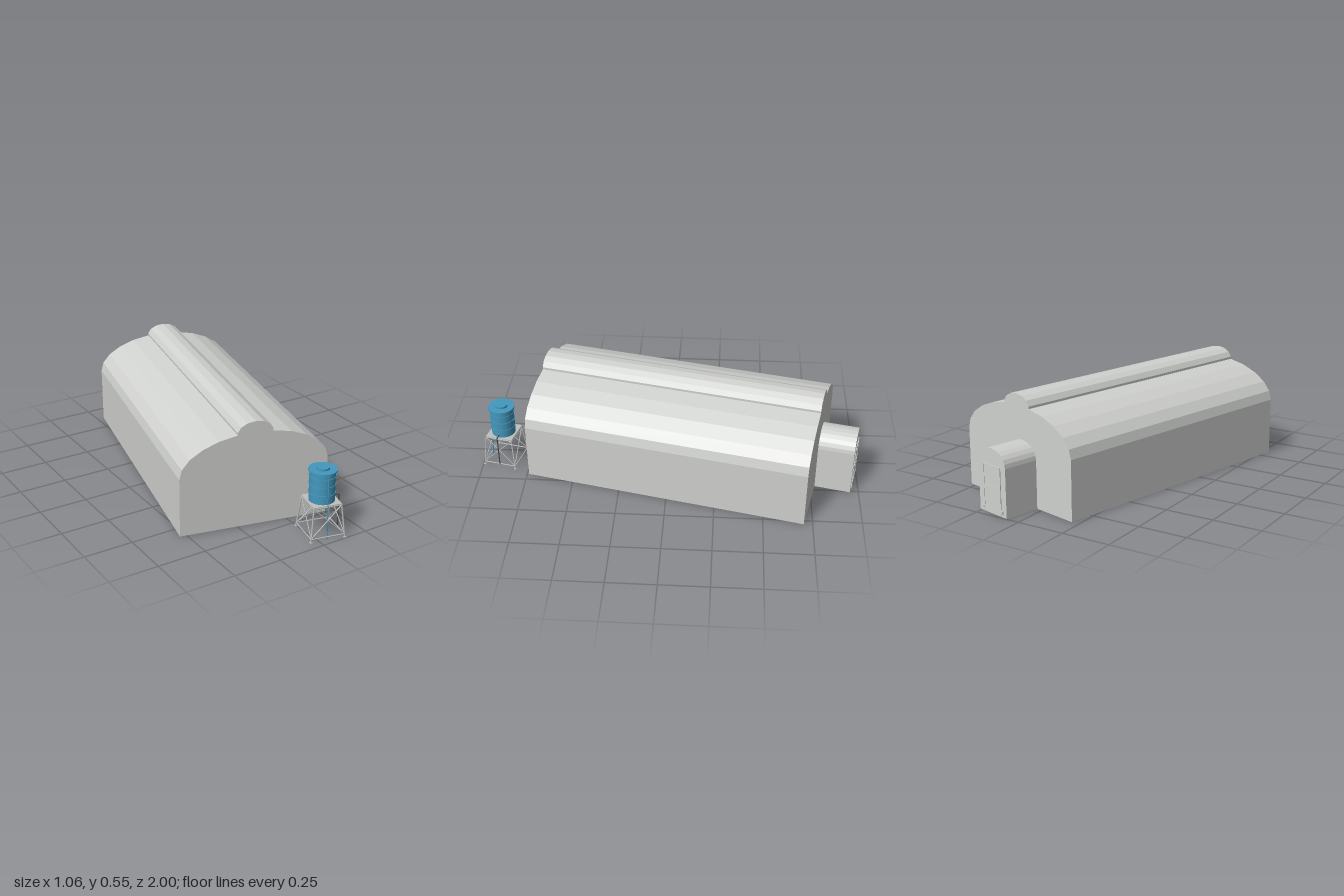
import * as THREE from 'three';

const mat = (name, color) => {
  const m = new THREE.MeshStandardMaterial({ color });
  m.name = name;
  return m;
};

export function createModel() {
  const cladding = mat('pale cladding', 0xd0d2cf);
  const floorDark = mat('dark floor', 0x666866);
  const tankBlue = mat('tank blue', 0x4398be);
  const steel = mat('galvanised steel', 0xbfc1bf);
  const pipeDark = mat('dark pipe', 0x4a4c4c);

  const add = (parent, name, geo, material, x = 0, y = 0, z = 0) => {
    const m = new THREE.Mesh(geo, material);
    m.name = name;
    m.position.set(x, y, z);
    parent.add(m);
    return m;
  };
  const box = (w, h, d) => new THREE.BoxGeometry(w, h, d);

  // Round bar between two points
  const bar = (parent, name, a, b, r, material, sides = 6) => {
    const p = new THREE.Vector3(...a), q = new THREE.Vector3(...b);
    const dir = q.clone().sub(p);
    const m = add(parent, name, new THREE.CylinderGeometry(r, r, dir.length(), sides), material);
    m.position.copy(p).add(q).multiplyScalar(0.5);
    m.quaternion.setFromUnitVectors(new THREE.Vector3(0, 1, 0), dir.normalize());
    return m;
  };

  // Symmetrical vault: right half of the section, mirrored and extruded
  const vault = (half, length) => {
    const left = half.filter(([x]) => x > 0).reverse().map(([x, y]) => [-x, y]);
    const shape = new THREE.Shape([...half, ...left].map(([x, y]) => new THREE.Vector2(x, y)));
    return new THREE.ExtrudeGeometry(shape, { depth: length, bevelEnabled: false });
  };

  const model = new THREE.Group();
  model.name = 'vaultedHallWithWaterTower';
  const site = new THREE.Group();
  site.name = 'site';
  site.position.set(-0.0025, 0, -0.065);
  site.rotation.y = -0.2193;
  model.add(site);

  // Main hall with raised ridge vent
  const hall = new THREE.Group();
  hall.name = 'hall';
  site.add(hall);
  const W = 0.379, L = 1.481;
  add(hall, 'hallShell', vault([
    [W, 0.001], [W, 0.302], [0.366, 0.35], [0.327, 0.397], [0.262, 0.438], [0.183, 0.468],
    [0.09, 0.486], [0.09, 0.498], [0.073, 0.524], [0.041, 0.541], [0, 0.547],
  ], L), cladding, 0, 0, -L / 2);
  add(hall, 'floor', box(2 * W - 0.024, 0.002, L - 0.024), floorDark, 0, 0.001, 0);

  // Entrance porch at the back
  const porch = new THREE.Group();
  porch.name = 'porch';
  porch.position.set(-0.0355, 0, -0.927);
  site.add(porch);
  const arch = [[0.098, 0.001]];
  for (let i = 0; i <= 6; i++) {
    const a = (i / 6) * Math.PI / 2;
    arch.push([i === 6 ? 0 : 0.098 * Math.cos(a), 0.245 + 0.08 * Math.sin(a)]);
  }
  add(porch, 'porchShell', vault(arch, 0.19), cladding);

  // Door leaf, frame and bottom bar
  add(porch, 'doorLeaf', box(0.116, 0.23, 0.002), cladding, 0, 0.125, -0.001);
  for (const s of [-1, 1]) {
    add(porch, 'doorJamb', box(0.005, 0.235, 0.004), cladding, s * 0.06, 0.1245, -0.002);
    add(porch, 'barBracket', box(0.008, 0.008, 0.006), steel, s * 0.068, 0.022, -0.003);
  }
  add(porch, 'doorHead', box(0.125, 0.005, 0.004), cladding, 0, 0.2425, -0.002);
  add(porch, 'doorRail', box(0.116, 0.004, 0.004), cladding, 0, 0.14, -0.002);
  add(porch, 'doorBar', box(0.15, 0.02, 0.004), cladding, 0, 0.022, -0.002);

  // Water tower
  const tower = new THREE.Group();
  tower.name = 'waterTower';
  tower.position.set(0.271, 0, 0.915);
  site.add(tower);

  // Splayed legs, cross bracing and ring beams
  const H = 0.172, half = (y) => 0.088 - 0.017 * y / H;
  const corners = [[1, 1], [-1, 1], [-1, -1], [1, -1]];
  const at = (i, y) => {
    const [sx, sz] = corners[i % 4];
    return [sx * half(y), y, sz * half(y)];
  };
  for (let i = 0; i < 4; i++) {
    bar(tower, 'leg', at(i, 0.003), at(i, H), 0.004, steel);
    bar(tower, 'brace', at(i, 0.02), at(i + 1, H - 0.004), 0.0025, steel);
    bar(tower, 'brace', at(i + 1, 0.02), at(i, H - 0.004), 0.0025, steel);
    bar(tower, 'lowerBeam', at(i, 0.018), at(i + 1, 0.018), 0.003, steel);
    bar(tower, 'upperBeam', at(i, H - 0.003), at(i + 1, H - 0.003), 0.0035, steel);
    const [fx, , fz] = at(i, 0);
    add(tower, 'foot', box(0.012, 0.004, 0.012), steel, fx, 0.002, fz);
  }
  add(tower, 'platform', box(0.146, 0.005, 0.146), steel, 0, 0.174, 0);

  // Tank with hoops, lid and hatch
  const drum = (name, r, y0, y1) =>
    add(tower, name, new THREE.CylinderGeometry(r, r, y1 - y0, 20), tankBlue, 0, (y0 + y1) / 2, 0);
  drum('tank', 0.063, 0.176, 0.332);
  for (const y of [0.22, 0.263, 0.305]) drum('hoop', 0.066, y - 0.002, y + 0.002);
  drum('lid', 0.07, 0.331, 0.338);
  drum('hatch', 0.032, 0.338, 0.348);

  // Riser at the front and outlet pipe on the left
  bar(tower, 'riser', [0, 0, 0.077], [0, 0.332, 0.067], 0.003, tankBlue, 8);
  bar(tower, 'outlet', [0.06, 0.188, 0], [0.09, 0.188, 0], 0.003, pipeDark, 8);
  bar(tower, 'downpipe', [0.09, 0.191, 0], [0.09, 0.02, 0], 0.003, pipeDark, 8);

  return model;
}
